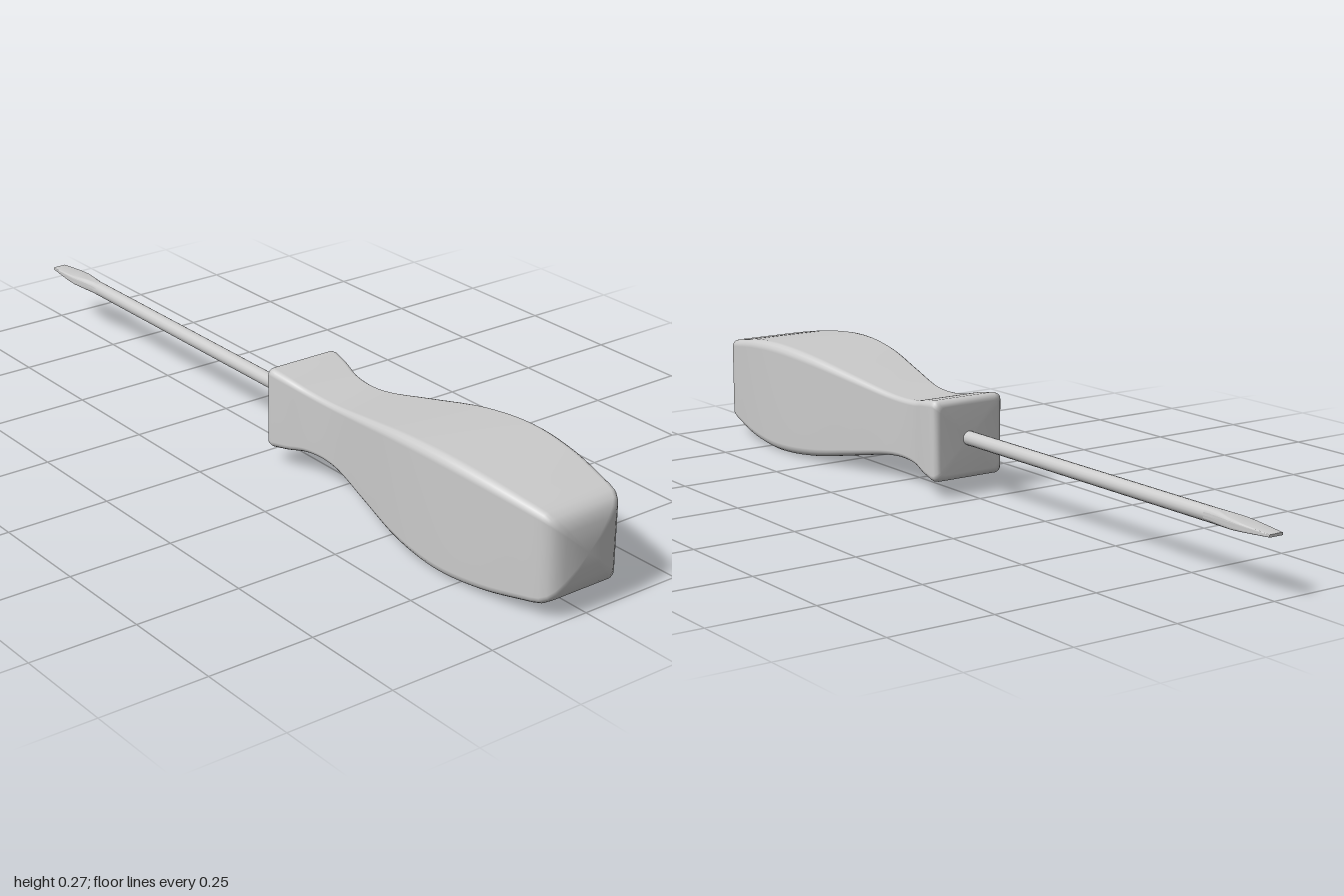
import * as THREE from 'three';
import { toCreasedNormals } from 'three/addons/utils/BufferGeometryUtils.js';

const AXIS_Y = 0.136;

// Rounded rectangle, counter-clockwise seen from +z
function section(hx, hy, r, steps) {
  const pts = [];
  for (let q = 0; q < 4; q++) {
    const cx = (q === 0 || q === 3 ? 1 : -1) * (hx - r);
    const cy = (q < 2 ? 1 : -1) * (hy - r);
    for (let i = 0; i <= steps; i++) {
      const a = (q + i / steps) * Math.PI / 2;
      pts.push([cx + r * Math.cos(a), cy + r * Math.sin(a)]);
    }
  }
  return pts;
}

// Skin over rings [z, halfWidth, halfHeight, cornerRadius], z ascending;
// both ends are closed by rings that shrink to a point
function loft(rings, steps) {
  const pos = [], idx = [], n = 4 * (steps + 1);
  for (const [z, hx, hy, r] of rings) {
    for (const [x, y] of section(hx, hy, r, steps)) pos.push(x, y, z);
  }
  for (let i = 0; i < rings.length - 1; i++) {
    for (let j = 0; j < n; j++) {
      const a = i * n + j, b = i * n + (j + 1) % n;
      idx.push(a, b, b + n, a, b + n, a + n);
    }
  }
  const geo = new THREE.BufferGeometry();
  geo.setAttribute('position', new THREE.Float32BufferAttribute(pos, 3));
  geo.setIndex(idx);
  geo.computeVertexNormals();
  return geo;
}

export function createModel() {
  const group = new THREE.Group();
  const material = new THREE.MeshStandardMaterial({ color: 0xcccccc });
  const add = (name, geometry) => {
    const mesh = new THREE.Mesh(geometry, material);
    mesh.name = name;
    mesh.position.y = AXIS_Y;
    group.add(mesh);
  };

  // Handle: square grip, waisted near the shaft and bulging toward the butt
  const grip = new THREE.CatmullRomCurve3([
    [0.062, 0.096], [0.11, 0.088], [0.16, 0.077], [0.22, 0.073], [0.28, 0.077],
    [0.4, 0.099], [0.55, 0.126], [0.69, 0.136], [0.82, 0.127], [0.945, 0.106],
  ].map(([z, h]) => new THREE.Vector3(h, 0, z)));
  const profile = [
    [0.043, 0], [0.043, 0.08], [0.045, 0.089], [0.052, 0.095],
    ...grip.getPoints(45).map((p) => [p.z, p.x]),
    [0.965, 0.101], [0.98, 0.092], [0.99, 0.079], [0.996, 0.06], [1, 0.03], [1, 0],
  ];
  add('handle', loft(profile.map(([z, h]) => [z, h, h, h * 0.16]), 4));

  // Shaft: plain round rod
  const R = 0.017;
  const rod = new THREE.CylinderGeometry(R, R, 0.87, 16);
  rod.rotateX(Math.PI / 2).translate(0, 0, -0.365);
  add('shaft', rod);

  // Blade: round rod flaring sideways and thinning to a flat edge
  const blade = loft([
    [-1, 0, 0, 0],
    [-1, 0.018, 0.003, 0.002],
    [-0.96, 0.021, 0.006, 0.003],
    [-0.92, 0.024, 0.009, 0.005],
    [-0.89, 0.024, 0.0115, 0.007],
    [-0.85, 0.02, 0.0145, 0.012],
    [-0.82, R, 0.0165, 0.016],
    [-0.8, R, R, R],
    [-0.8, 0, 0, 0],
  ], 4);
  add('blade', toCreasedNormals(blade, 0.5));

  return group;
}
